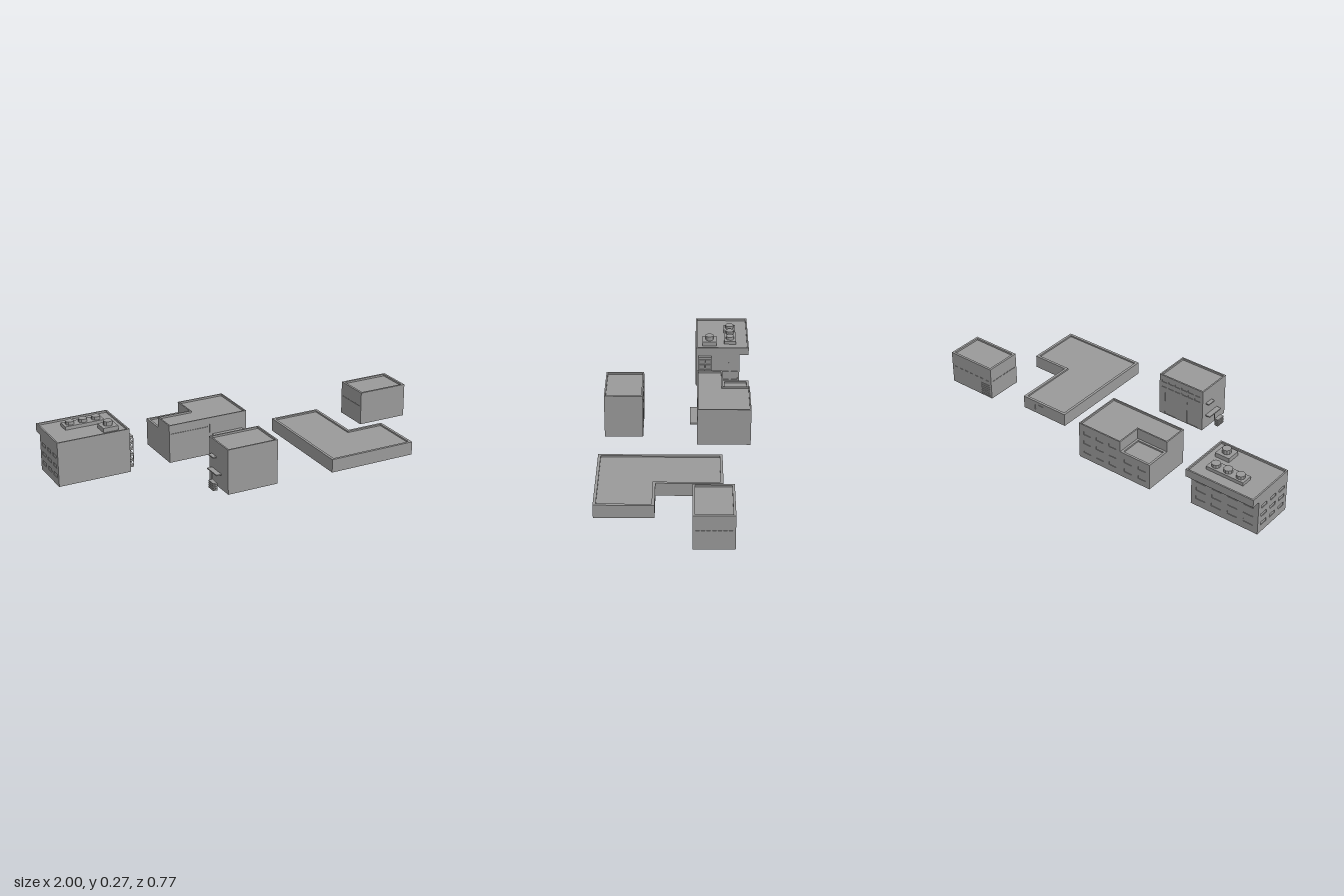
import * as THREE from 'three';

const mat = new THREE.MeshStandardMaterial({ color: 0x999999, flatShading: true });
const RECESS = 0.003; // depth of window and door openings

function mesh(name, geo, x = 0, y = 0, z = 0) {
  const m = new THREE.Mesh(geo, mat);
  m.name = name;
  m.position.set(x, y, z);
  return m;
}

// Box given by its extents
function block(name, x0, x1, y0, y1, z0, z1) {
  return mesh(name, new THREE.BoxGeometry(x1 - x0, y1 - y0, z1 - z0),
    (x0 + x1) / 2, (y0 + y1) / 2, (z0 + z1) / 2);
}

// Openings [u, y, width, height] in even columns and given rows
function grid(u0, u1, columns, rows, w, h) {
  const holes = [];
  const pitch = (u1 - u0) / columns;
  for (const y of rows)
    for (let i = 0; i < columns; i++)
      holes.push([u0 + (i + 0.5) * pitch - w / 2, y, w, h]);
  return holes;
}

const rect = (x0, x1, z0, z1) => [[x0, z1], [x1, z1], [x1, z0], [x0, z0]];

// Wall panels with shallow openings around a core; the panels rise past the roof as a parapet.
// Footprint runs front, right, back, left. openings: edge index -> list of openings.
function building(name, pts, height, t, roofDrop, openings = {}) {
  const g = new THREE.Group();
  g.name = name;
  const n = pts.length;
  const dirs = pts.map((p, i) => {
    const q = pts[(i + 1) % n];
    const len = Math.hypot(q[0] - p[0], q[1] - p[1]);
    return { x: (q[0] - p[0]) / len, z: (q[1] - p[1]) / len, len };
  });
  pts.forEach((p, i) => {
    const d = dirs[i], e = dirs[(i + 1) % n];
    const inner = d.x * e.z - d.z * e.x > 0;
    const len = d.len + (inner ? t : 0); // fill the inner corner
    const s = new THREE.Shape([[0, 0], [len, 0], [len, height], [0, height]].map(a => new THREE.Vector2(...a)));
    for (const [u, y, w, h] of openings[i] || [])
      s.holes.push(new THREE.Path([[u, y], [u, y + h], [u + w, y + h], [u + w, y]].map(a => new THREE.Vector2(...a))));
    const wall = mesh('wall', new THREE.ExtrudeGeometry(s, { depth: t, bevelEnabled: false }),
      p[0] + d.z * t, 0, p[1] - d.x * t);
    wall.rotation.y = Math.atan2(-d.z, d.x);
    g.add(wall);
  });
  // Core moved inward from every edge
  const core = pts.map((p, i) => {
    const a = dirs[(i + n - 1) % n], b = dirs[i];
    return new THREE.Vector2(p[0] + (a.z + b.z) * RECESS, -(p[1] - (a.x + b.x) * RECESS));
  });
  const geo = new THREE.ExtrudeGeometry(new THREE.Shape(core), { depth: height - roofDrop, bevelEnabled: false });
  geo.rotateX(-Math.PI / 2);
  g.add(mesh('roofAndCore', geo));
  return g;
}

// Raised roof plate carrying round vents
function ventUnit(x0, x1, z0, z1, roof, plateTop, ventTop, count) {
  const g = new THREE.Group();
  g.name = 'roofVents';
  g.add(block('ventPlate', x0, x1, roof, plateTop, z0, z1));
  const pitch = (x1 - x0) / count;
  for (let i = 0; i < count; i++)
    g.add(mesh('vent', new THREE.CylinderGeometry(0.023, 0.023, ventTop - plateTop, 10),
      x0 + (i + 0.5) * pitch, (plateTop + ventTop) / 2, (z0 + z1) / 2));
  return g;
}

function apartmentBlock() {
  const rows = [0.04, 0.09, 0.14];
  const g = new THREE.Group();
  g.name = 'apartmentBlock';
  g.add(building('lowerStoreys', rect(-1, -0.618, -0.338, -0.1), 0.19, 0.008, 0.001, {
    1: grid(0.09, 0.235, 3, rows, 0.034, 0.018),
    2: grid(0.01, 0.372, 4, rows, 0.055, 0.018),
    3: grid(0.01, 0.23, 3, rows, 0.045, 0.018),
  }));
  // Top storey overhangs at the back
  const top = building('topStorey', rect(-1, -0.618, -0.387, -0.1), 0.042, 0.008, 0.01);
  top.position.y = 0.19;
  g.add(top);
  g.add(ventUnit(-0.895, -0.685, -0.318, -0.255, 0.222, 0.24, 0.257, 3));
  g.add(ventUnit(-0.742, -0.662, -0.212, -0.136, 0.222, 0.245, 0.268, 1));
  // Fire escape
  const escape = new THREE.Group();
  escape.name = 'fireEscape';
  for (let i = 0; i < 6; i++) {
    const y = 0.018 + i * 0.031;
    escape.add(block('landing', -0.618, -0.594, y, y + 0.011, -0.185, -0.113));
  }
  for (const z of [-0.185, -0.151, -0.116])
    escape.add(block('post', -0.597, -0.594, 0.018, 0.184, z, z + 0.003));
  g.add(escape);
  return g;
}

function officeBlock() {
  const g = new THREE.Group();
  g.name = 'officeBlock';
  const low = [0.035, 0.09];
  g.add(building('mainWing',
    [[-0.4, -0.105], [0.038, -0.105], [0.038, -0.379], [-0.22, -0.379], [-0.22, -0.24], [-0.4, -0.24]],
    0.203, 0.007, 0.01, {
      0: [[0.225, 0.113, 0.004, 0.055], [0.01, 0.155, 0.205, 0.004]],
      2: grid(0.01, 0.25, 3, [...low, 0.145], 0.045, 0.018),
    }));
  g.add(building('lowWing', rect(-0.4, -0.22, -0.379, -0.24), 0.145, 0.012, 0.008, {
    2: grid(0.005, 0.175, 2, low, 0.045, 0.018),
  }));
  g.add(block('canopy', -0.158, 0.013, 0.102, 0.112, -0.105, -0.068));
  return g;
}

function workshop() {
  const g = building('workshop', rect(-0.315, -0.042, 0.173, 0.371), 0.235, 0.008, 0.01, {
    2: [[0.035, 0.003, 0.07, 0.13], [0.175, 0.003, 0.07, 0.13],
      ...grid(0.01, 0.26, 6, [0.165, 0.195], 0.034, 0.012)],
  });
  // Side landings and open steps
  const stair = new THREE.Group();
  stair.name = 'sideStair';
  stair.add(block('upperLanding', -0.335, -0.315, 0.148, 0.154, 0.2, 0.25));
  stair.add(block('lowerLanding', -0.342, -0.315, 0.075, 0.081, 0.2, 0.3));
  stair.add(block('post', -0.342, -0.338, 0.035, 0.081, 0.245, 0.249));
  for (let i = 0; i < 4; i++)
    stair.add(block('tread', -0.36, -0.338, i * 0.011, i * 0.011 + 0.007, 0.25, 0.3));
  stair.add(block('stringer', -0.342, -0.338, 0, 0.04, 0.25, 0.3));
  g.add(stair);
  return g;
}

function lowHall() {
  return building('lowHall',
    [[0.262, 0.387], [0.739, 0.387], [0.739, 0.097], [0.538, 0.097], [0.538, -0.23], [0.262, -0.23]],
    0.07, 0.014, 0.008, { 4: [[0.075, 0.02, 0.006, 0.03], [0.1, 0.052, 0.03, 0.004]] });
}

function garage() {
  const slots = len => grid(0.01, len - 0.01, 7, [0.1], 0.018, 0.005);
  const g = building('garage', rect(0.724, 1, -0.277, -0.08), 0.18, 0.012, 0.01, {
    1: slots(0.197),
    2: [...slots(0.276), [0.205, 0.003, 0.06, 0.075]],
    3: slots(0.197),
  });
  // Roller shutter slats
  for (let i = 0; i < 6; i++)
    g.add(block('shutterSlat', 0.735, 0.795, 0.006 + i * 0.012, 0.013 + i * 0.012, -0.2765, -0.27));
  return g;
}

export function createModel() {
  const model = new THREE.Group();
  model.name = 'cityBuildings';
  model.add(apartmentBlock(), officeBlock(), workshop(), lowHall(), garage());
  return model;
}
